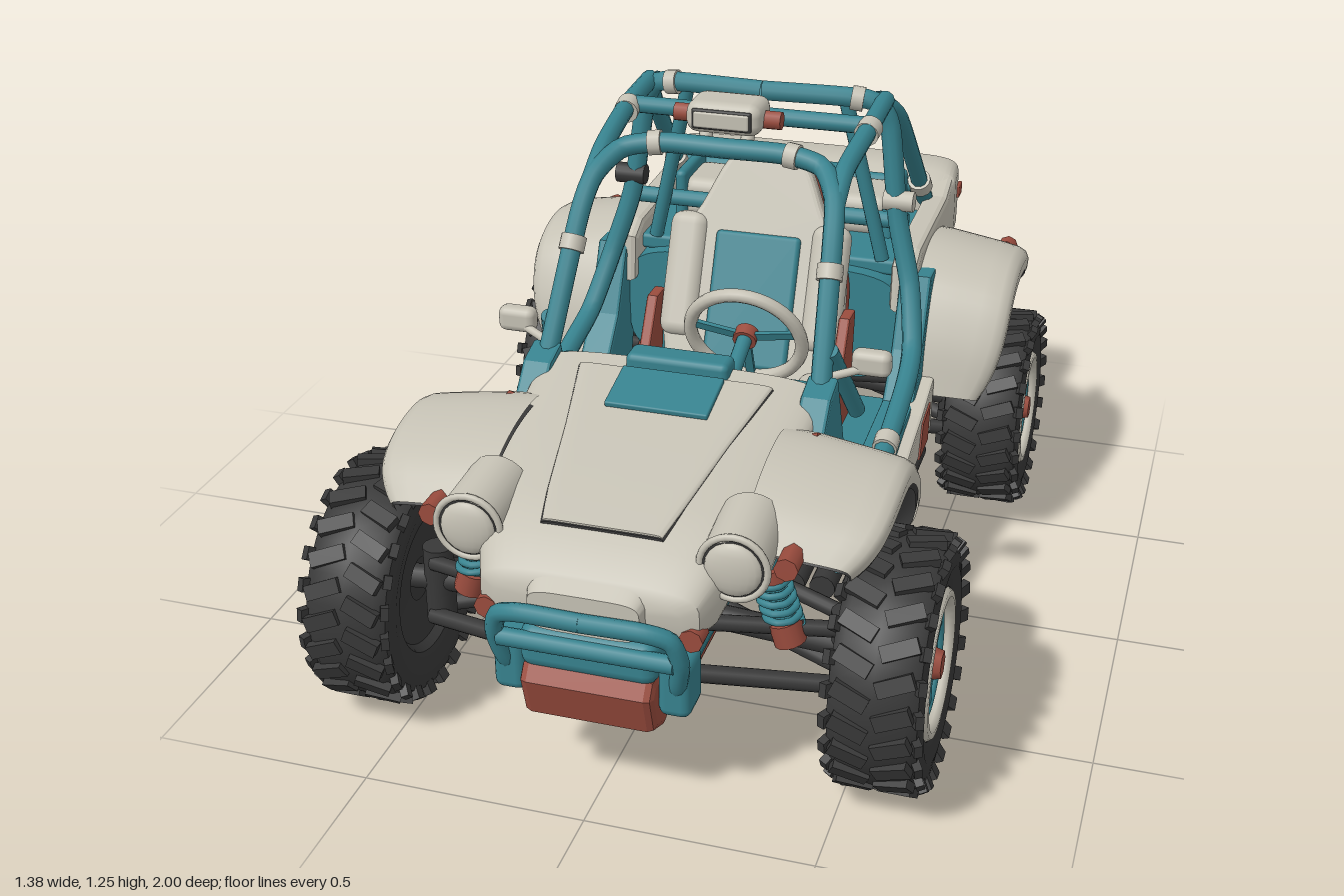
import * as THREE from 'three';
import { mergeGeometries, toCreasedNormals } from 'three/addons/utils/BufferGeometryUtils.js';
import { RoundedBoxGeometry } from 'three/addons/geometries/RoundedBoxGeometry.js';

const paint = (name, color) => { const m = new THREE.MeshStandardMaterial({ color, side: THREE.DoubleSide }); m.name = name; return m; };
const V = (x, y, z) => new THREE.Vector3(x, y, z);

export function createModel() {
  const root = new THREE.Group();
  root.name = 'buggy';
  const teal = paint('teal', 0x37828e), cream = paint('cream', 0xc5c1b4);
  const rust = paint('rust', 0x9a4c3e), dark = paint('charcoal', 0x383838);

  const add = (name, geo, mat, parent = root) => {
    const m = new THREE.Mesh(geo, mat); m.name = name; parent.add(m); return m;
  };
  // Rounded box from centre and size
  const box = (name, mat, [x, y, z], [w, h, d], r = 0.01, parent = root) => {
    const m = add(name, new RoundedBoxGeometry(w, h, d, 2, r), mat, parent);
    m.position.set(x, y, z); return m;
  };
  const tube = (name, mat, pts, r = 0.022) => {
    const c = new THREE.CatmullRomCurve3(pts.map(p => V(...p)), false, 'catmullrom', 0.35);
    return add(name, new THREE.TubeGeometry(c, pts.length * 6, r, 10), mat);
  };
  // Straight rod with closed ends
  const rod = (name, mat, a, b, r = 0.022, sides = 14) => {
    const p = V(...a), q = V(...b), d = q.clone().sub(p);
    const m = add(name, new THREE.CylinderGeometry(r, r, d.length(), sides), mat);
    m.position.copy(p).lerp(q, 0.5);
    m.quaternion.setFromUnitVectors(V(0, 1, 0), d.normalize());
    return m;
  };
  // Body skin through squarish sections, front to back order rising in z: [z, halfWidth, yLow, yHigh]
  const loft = (name, mat, sections, n = 5) => {
    const N = 40, pos = [], idx = [], pw = t => Math.sign(t) * Math.abs(t) ** (2 / n);
    const rows = [...sections].sort((p, q) => q[0] - p[0]);
    rows.forEach(([z, w, a, b]) => {
      for (let k = 0; k < N; k++) {
        const t = k / N * Math.PI * 2;
        pos.push(w * pw(Math.cos(t)), (a + b) / 2 + (b - a) / 2 * pw(Math.sin(t)), z);
      }
    });
    const last = rows.length - 1;
    for (let i = 0; i < last; i++) for (let k = 0; k < N; k++) {
      const a = i * N + k, b = i * N + (k + 1) % N;
      idx.push(a, a + N, b, b, a + N, b + N);
    }
    [0, last].forEach(i => {
      const [z, , a, b] = rows[i], c = pos.length / 3;
      pos.push(0, (a + b) / 2, z);
      for (let k = 0; k < N; k++) {
        const p = i * N + k, q = i * N + (k + 1) % N;
        i ? idx.push(c, q, p) : idx.push(c, p, q);
      }
    });
    const g = new THREE.BufferGeometry();
    g.setAttribute('position', new THREE.Float32BufferAttribute(pos, 3));
    g.setIndex(idx);
    return add(name, toCreasedNormals(g, 0.6), mat);
  };
  // Side profile in (z, y), extruded from x0 to x1
  const slab = (name, mat, pts, x0, x1, bevel = 0.008) => {
    const s = new THREE.Shape(pts.map(p => new THREE.Vector2(...p)));
    const g = new THREE.ExtrudeGeometry(s, { depth: x1 - x0 - 2 * bevel, bevelEnabled: bevel > 0, bevelSize: bevel, bevelThickness: bevel, bevelOffset: -bevel, bevelSegments: 2 });
    g.rotateY(-Math.PI / 2).translate(x1 - bevel, 0, 0);
    return add(name, g, mat);
  };

  // Hood, lid, vent and nose
  loft('hood', cream, [[0.3, 0.34, 0.6, 0.745], [0.55, 0.325, 0.56, 0.69], [0.75, 0.295, 0.5, 0.645], [0.87, 0.26, 0.42, 0.605], [0.93, 0.235, 0.43, 0.555], [0.945, 0.2, 0.45, 0.53]], 4);
  const lid = (name, mat, up, grow) => loft(name, mat, [[0.84 + grow, 0.13 + grow, 0.57, 0.617 + up], [0.75, 0.15 + grow, 0.6, 0.645 + up], [0.55, 0.185 + grow, 0.64, 0.69 + up], [0.35, 0.225 + grow, 0.69, 0.734 + up]], 12);
  lid('hoodLidGap', dark, 0.002, 0.003);
  lid('hoodLid', cream, 0.007, 0);
  box('hoodVent', teal, [0, 0.73, 0.425], [0.235, 0.014, 0.135], 0.004).rotation.x = 0.217;
  loft('noseFrame', cream, [[0.965, 0.12, 0.44, 0.53], [0.9, 0.14, 0.43, 0.57]], 5);
  box('noseGrille', teal, [0, 0.475, 0.965], [0.18, 0.035, 0.012], 0.004);
  box('cowl', teal, [0, 0.735, 0.31], [0.24, 0.07, 0.07], 0.015);
  box('dashboard', teal, [0, 0.64, 0.29], [0.62, 0.17, 0.08], 0.03);

  // Chassis, floor and belly
  box('frontChassis', teal, [0, 0.4, 0.6], [0.36, 0.28, 0.5], 0.03);
  box('bumperCore', teal, [0, 0.38, 0.91], [0.3, 0.1, 0.1], 0.03);
  box('floor', teal, [0, 0.29, -0.1], [0.78, 0.06, 0.8], 0.02);
  box('rearChassis', dark, [0, 0.36, -0.65], [0.4, 0.18, 0.5], 0.03);
  box('bellyPlate', rust, [0, 0.235, 0], [0.32, 0.035, 1.7], 0.012);
  slab('frontSkid', rust, [[0.82, 0.22], [0.88, 0.19], [0.95, 0.22], [0.975, 0.31], [0.95, 0.345], [0.85, 0.33]], -0.145, 0.145, 0.018);
  slab('rearSkid', rust, [[-0.8, 0.22], [-0.87, 0.215], [-0.96, 0.3], [-0.975, 0.36], [-0.93, 0.35], [-0.8, 0.26]], -0.16, 0.16, 0.012);

  // Tail
  loft('tailCore', teal, [[-0.38, 0.36, 0.42, 0.72], [-0.8, 0.38, 0.42, 0.72], [-0.92, 0.385, 0.42, 0.72], [-0.98, 0.36, 0.46, 0.7], [-0.995, 0.3, 0.51, 0.66]], 5);
  loft('tailCap', cream, [[-0.79, 0.4, 0.65, 0.78], [-0.86, 0.408, 0.62, 0.835], [-0.95, 0.4, 0.62, 0.845], [-0.985, 0.39, 0.64, 0.83], [-0.993, 0.37, 0.66, 0.81]], 9);
  box('tailStripe', rust, [0, 0.762, -0.994], [0.73, 0.028, 0.01], 0.003);
  box('rearDeck', teal, [0, 0.72, -0.62], [0.68, 0.04, 0.4], 0.01);

  // Wheel with chunky treads; local +y points outwards
  const makeWheel = (x, y, z, k, name) => {
    const g = new THREE.Group(); g.name = name; root.add(g);
    g.position.set(x, y, z); g.rotation.z = -Math.sign(x) * Math.PI / 2; g.scale.set(k, 1, k);
    const prof = [[0.05, -0.06], [0.15, -0.07], [0.165, -0.088], [0.21, -0.1], [0.25, -0.093], [0.267, -0.07], [0.272, 0], [0.267, 0.07], [0.25, 0.093], [0.21, 0.1], [0.165, 0.088], [0.15, 0.05]];
    add('tire', toCreasedNormals(new THREE.LatheGeometry(prof.map(p => new THREE.Vector2(...p)), 48), 0.6), dark, g);
    const lugs = [];
    for (let i = 0; i < 24; i++) for (const s of [-1, 1]) {
      const a = (i + (s > 0 ? 0.5 : 0)) / 24 * Math.PI * 2;
      lugs.push(new THREE.BoxGeometry(0.02, 0.08, 0.034).rotateX(s * 0.4).translate(0.271, s * 0.045, 0).rotateY(a));
      lugs.push(new THREE.BoxGeometry(0.045, 0.018, 0.03).rotateZ(s * 0.5).translate(0.248, s * 0.09, 0).rotateY(a));
    }
    add('treads', mergeGeometries(lugs), dark, g);
    add('wheelWell', new THREE.CylinderGeometry(0.15, 0.15, 0.06, 36), dark, g).position.y = 0.005;
    add('rim', new THREE.LatheGeometry([[0.13, 0.03], [0.135, 0.085], [0.145, 0.098], [0.158, 0.097], [0.168, 0.08]].map(p => new THREE.Vector2(...p)), 40), cream, g);
    add('rimRing', new THREE.TorusGeometry(0.122, 0.014, 8, 36).rotateX(Math.PI / 2), teal, g).position.y = 0.065;
    for (let i = 0; i < 6; i++) {
      const sp = add('spoke', new THREE.BoxGeometry(0.1, 0.03, 0.046).translate(0.075, 0.06, 0), teal, g);
      sp.rotation.y = i * Math.PI / 3;
    }
    add('hub', new THREE.CylinderGeometry(0.045, 0.055, 0.04, 18), teal, g).position.y = 0.06;
    add('hubCap', new THREE.CylinderGeometry(0.03, 0.036, 0.025, 6), rust, g).position.y = 0.086;
  };

  // Fender arch swept along (z, y) points around a wheel centre
  const fender = (s, name, pts, cz, cy, xi, xo) => {
    const path = new THREE.CatmullRomCurve3(pts.map(([z, y]) => V(0, y, z)));
    const across = [[0, -0.06], [0.25, -0.05], [0.5, -0.025], [0.75, 0], [0.9, 0.02], [0.97, 0.045], [1, 0.085], [0.995, 0.15]];
    const nu = 28, nv = across.length;
    [[cream, 1, name], [dark, 0.965, name + 'Liner']].forEach(([mat, k, label]) => {
      const pos = [], idx = [];
      for (let i = 0; i <= nu; i++) {
        const u = i / nu, p = path.getPoint(u), w = 1 - 0.22 * Math.abs(2 * u - 1) ** 4;
        across.forEach(([v, drop]) => {
          const f = (1 - drop) * k;
          pos.push(s * (xi + (xo - xi) * v * w * (k < 1 ? 0.985 : 1)), cy + (p.y - cy) * f, cz + (p.z - cz) * f);
        });
      }
      for (let i = 0; i < nu; i++) for (let j = 0; j < nv - 1; j++) {
        const a = i * nv + j, b = a + nv;
        s > 0 ? idx.push(a, a + 1, b, b, a + 1, b + 1) : idx.push(a, b, a + 1, b, b + 1, a + 1);
      }
      const g = new THREE.BufferGeometry();
      g.setAttribute('position', new THREE.Float32BufferAttribute(pos, 3));
      g.setIndex(idx); g.computeVertexNormals();
      add(label, g, mat);
    });
  };

  for (const s of [1, -1]) {
    const side = s > 0 ? 'left' : 'right', M = pts => pts.map(([x, y, z]) => [s * x, y, z]);
    const mslab = (n, m, p, a, b, bv) => slab(n, m, p, s > 0 ? a : -b, s > 0 ? b : -a, bv);
    makeWheel(s * 0.58, 0.285, 0.633, 1, side + 'FrontWheel');
    makeWheel(s * 0.58, 0.288, -0.605, 0.915, side + 'RearWheel');
    fender(s, side + 'FrontFender', [[0.79, 0.58], [0.71, 0.64], [0.59, 0.677], [0.46, 0.675], [0.36, 0.61], [0.28, 0.49], [0.21, 0.37]], 0.6, 0.3, 0.28, 0.567);
    fender(s, side + 'RearFender', [[-0.3, 0.44], [-0.34, 0.58], [-0.41, 0.69], [-0.52, 0.735], [-0.66, 0.725], [-0.8, 0.665], [-0.87, 0.59]], -0.6, 0.3, 0.36, 0.637);

    // Side tub and sill
    mslab('frontTub', teal, [[0.2, 0.3], [0.36, 0.32], [0.48, 0.45], [0.46, 0.62], [0.36, 0.73], [0.29, 0.75], [0.2, 0.52]], 0.29, 0.36);
    mslab('sideTub', teal, [[0.32, 0.27], [0.24, 0.42], [0.18, 0.5], [0.13, 0.44], [-0.2, 0.46], [-0.29, 0.56], [-0.37, 0.73], [-0.5, 0.73], [-0.42, 0.5], [-0.36, 0.27]], 0.36, 0.44);
    mslab('sillPanel', cream, [[0.14, 0.39], [-0.16, 0.45], [-0.3, 0.49], [-0.28, 0.35], [0.11, 0.34]], 0.41, 0.472);
    mslab('sillPatch', rust, [[-0.12, 0.35], [-0.15, 0.435], [-0.24, 0.45], [-0.225, 0.355]], 0.466, 0.476, 0);
    mslab('tailSide', cream, [[-0.36, 0.63], [-0.37, 0.75], [-0.43, 0.78], [-0.78, 0.79], [-0.86, 0.82], [-0.9, 0.64], [-0.8, 0.6]], 0.335, 0.402, 0.015);
    [0.28, 0.35, 0.42].forEach(x => rod('sideBar', dark, [s * x, 0.25, 0.36], [s * x, 0.25, -0.36], 0.03));

    // Roll cage
    tube('windshieldPillar', teal, M([[0.335, 0.62, 0.36], [0.32, 0.74, 0.29], [0.3, 1.0, 0.13], [0.285, 1.08, 0.06], [0.24, 1.125, -0.01], [0.15, 1.14, -0.03], [0, 1.14, -0.03]]), 0.024);
    tube('roofRail', teal, M([[0.29, 1.07, 0.07], [0.29, 1.12, -0.02], [0.3, 1.155, -0.22], [0.3, 1.17, -0.4]]), 0.023);
    tube('mainHoop', teal, M([[0, 1.175, -0.37], [0.2, 1.175, -0.38], [0.28, 1.165, -0.39], [0.315, 1.1, -0.4], [0.345, 0.88, -0.38], [0.39, 0.72, -0.34], [0.42, 0.59, -0.25], [0.43, 0.54, -0.12], [0.43, 0.46, 0.2]]), 0.025);
    tube('rearStay', teal, M([[0.28, 1.17, -0.4], [0.32, 1.1, -0.48], [0.34, 0.78, -0.78]]), 0.022);
    rod('dashBrace', teal, [s * 0.33, 0.8, 0.26], [s * 0.37, 0.6, 0.14], 0.02);
    rod('hoopBrace', teal, [s * 0.3, 0.74, -0.43], [s * 0.2, 1.17, -0.4], 0.018);
    const clamps = [[[0.305, 0.93, 0.175], [0.303, 0.96, 0.155]], [[0.297, 1.146, -0.2], [0.3, 1.153, -0.24]], [[0.15, 1.14, -0.03], [0.18, 1.137, -0.026]], [[0.22, 1.174, -0.381], [0.25, 1.17, -0.385]], [[0.335, 0.86, -0.705], [0.337, 0.83, -0.735]], [[0.43, 0.497, 0.06], [0.43, 0.487, 0.1]]];
    clamps.forEach(([a, b]) => rod('clamp', cream, M([a])[0], M([b])[0], 0.03));
    rod('hoopClamp', s > 0 ? cream : dark, [s * 0.31, 0.92, -0.382], [s * 0.385, 0.92, -0.382], 0.026);

    // Headlight, markers and mirror
    rod('headlightShell', cream, [s * 0.28, 0.605, 0.7], [s * 0.285, 0.59, 0.86], 0.072, 24);
    rod('headlightGap', dark, [s * 0.285, 0.589, 0.85], [s * 0.285, 0.589, 0.866], 0.066, 24);
    const glass = add('headlightLens', new THREE.SphereGeometry(0.061, 20, 10), cream);
    glass.position.set(s * 0.285, 0.588, 0.865); glass.scale.z = 0.35;
    const ring = add('headlightRim', new THREE.TorusGeometry(0.071, 0.008, 8, 28), cream);
    ring.position.set(s * 0.285, 0.589, 0.863);
    [[0.385, 0.585, 0.76, 0.835], [0.22, 0.455, 0.9, 0.945], [0.56, 0.64, -0.82, -0.86]].forEach(([x, y, a, b]) => rod('markerLight', rust, [s * x, y, a], [s * x, y, b], 0.026, 8));
    box('tailLamp', rust, [s * 0.403, 0.755, -0.94], [0.012, 0.035, 0.045], 0.004);
    rod('hoodLatch', rust, [s * 0.33, 0.675, 0.46], [s * 0.36, 0.685, 0.46], 0.016);
    rod('mirrorArm', cream, [s * 0.32, 0.74, 0.28], [s * 0.42, 0.76, 0.23], 0.01);
    box('mirror', cream, [s * 0.42, 0.77, 0.23], [0.09, 0.06, 0.045], 0.018);

    // Suspension for both axles
    [[0.633, 0.17], [-0.605, 0.18]].forEach(([z, xi]) => {
      rod('axle', dark, [s * 0.1, 0.32, z], [s * 0.55, 0.29, z], 0.028);
      for (const d of [0.13, -0.13]) {
        rod('lowerArm', dark, [s * xi, 0.25, z + d], [s * 0.48, 0.21, z + d * 0.2], 0.02);
        rod('upperArm', dark, [s * xi, 0.38, z + d], [s * 0.47, 0.35, z + d * 0.2], 0.018);
      }
      rod('knuckle', dark, [s * 0.47, 0.19, z], [s * 0.47, 0.38, z], 0.035);
      const top = [s * 0.3, 0.54, z + 0.07], low = [s * 0.365, 0.33, z + 0.07];
      rod('shock', teal, top, low, 0.026);
      rod('shockFoot', rust, [s * 0.35, 0.38, z + 0.07], low, 0.036);
      rod('shockHead', rust, [s * 0.319, 0.475, z + 0.07], [s * 0.311, 0.505, z + 0.07], 0.042);
      const helix = Array.from({ length: 41 }, (_, i) => {
        const a = i / 40 * Math.PI * 10, t = i / 40;
        return [s * (0.318 + 0.033 * t) + 0.038 * Math.cos(a), 0.48 - 0.1 * t, z + 0.07 + 0.038 * Math.sin(a)];
      });
      tube('shockSpring', teal, helix, 0.008);
    });

    // Bumpers
    tube('frontBumper', teal, M([[0, 0.48, 0.98], [0.13, 0.48, 0.978], [0.185, 0.46, 0.965], [0.2, 0.4, 0.95], [0.185, 0.32, 0.92], [0.17, 0.28, 0.84]]), 0.02);
    box('bumperMount', teal, [s * 0.18, 0.32, 0.89], [0.07, 0.13, 0.1], 0.02);
    tube('rearBumperUpright', teal, M([[0.18, 0.56, -0.96], [0.18, 0.54, -0.978], [0.18, 0.4, -0.975], [0.17, 0.3, -0.9], [0.17, 0.27, -0.8]]), 0.022);
    rod('exhaust', dark, [s * 0.3, 0.36, -0.65], [s * 0.3, 0.36, -0.93], 0.03);

    // Strapped cargo pods
    box('cargoPod', cream, [s * 0.175, 0.785, -0.67], [0.21, 0.11, 0.17], 0.03);
    [[0.09, 0.055], [0.28, 0.03]].forEach(([x, w]) => box('cargoStrap', teal, [s * x, 0.795, -0.67], [w, 0.14, 0.2], 0.013));
  }
  rod('frontBumperBar', teal, [-0.19, 0.4, 0.955], [0.19, 0.4, 0.955], 0.02);
  [[1.155, -0.24, 0.3], [0.84, -0.45, 0.35], [0.8, -0.55, 0.34], [0.82, -0.775, 0.33]].forEach(([y, z, x]) => rod('crossBar', teal, [-x, y, z], [x, y, z], 0.021));

  // Seat: leaning back with a shell, padding and bolsters
  const seat = new THREE.Group(); seat.name = 'seat'; root.add(seat);
  seat.position.set(0, 0.46, -0.215); seat.rotation.x = -0.42;
  const half = [[0.19, 0], [0.22, 0.18], [0.2, 0.34], [0.15, 0.42], [0.1, 0.53], [0.06, 0.565]];
  const outline = new THREE.Shape(new THREE.SplineCurve([...half, ...half.map(([x, y]) => [-x, y]).reverse()].map(p => new THREE.Vector2(...p))).getPoints(40));
  const back = (d) => new THREE.ExtrudeGeometry(outline, { depth: d, bevelSize: 0.015, bevelThickness: 0.015, bevelSegments: 3 });
  add('seatShell', back(0.02), rust, seat).position.z = -0.06;
  add('seatPadding', back(0.03), cream, seat).position.z = -0.025;
  box('seatInsert', teal, [0, 0.2, 0.018], [0.22, 0.34, 0.03], 0.012, seat);
  for (const s of [1, -1]) {
    box('backBolster', cream, [s * 0.185, 0.25, 0.005], [0.1, 0.32, 0.07], 0.033, seat);
    box('cushionBolster', cream, [s * 0.195, 0.45, -0.09], [0.09, 0.13, 0.24], 0.03);
    slab('seatSide', rust, [[0.02, 0.38], [-0.02, 0.47], [-0.16, 0.52], [-0.24, 0.65], [-0.3, 0.65], [-0.26, 0.38]], s * 0.25 - 0.015, s * 0.25 + 0.015, 0.006);
  }
  box('seatCushion', teal, [0, 0.41, -0.06], [0.32, 0.12, 0.34], 0.03);

  // Steering wheel and column
  const steer = new THREE.Group(); steer.name = 'steeringWheel'; root.add(steer);
  steer.position.set(0.1, 0.745, 0.125); steer.rotation.x = 0.39;
  add('steeringRim', new THREE.TorusGeometry(0.133, 0.016, 10, 40), cream, steer);
  for (const a of [0.2, Math.PI - 0.2, -Math.PI / 2]) add('steeringSpoke', new THREE.BoxGeometry(0.13, 0.02, 0.01).translate(0.065, 0, 0).rotateZ(a), teal, steer);
  add('steeringHub', new THREE.CylinderGeometry(0.028, 0.028, 0.03, 16).rotateX(Math.PI / 2), rust, steer);
  rod('steeringColumn', teal, [0.1, 0.745, 0.13], [0.1, 0.68, 0.29], 0.018);

  // Roof lamp
  box('roofLamp', cream, [0, 1.212, -0.07], [0.18, 0.076, 0.12], 0.028);
  box('roofLampGasket', dark, [0, 1.212, -0.013], [0.142, 0.048, 0.012], 0.005);
  box('roofLampLens', cream, [0, 1.212, -0.009], [0.132, 0.038, 0.012], 0.005);
  for (const s of [1, -1]) {
    rod('lampKnob', rust, [s * 0.085, 1.205, -0.07], [s * 0.128, 1.205, -0.07], 0.022, 8);
    rod('lampPost', cream, [s * 0.05, 1.13, -0.04], [s * 0.05, 1.19, -0.07], 0.016);
  }
  return root;
}
